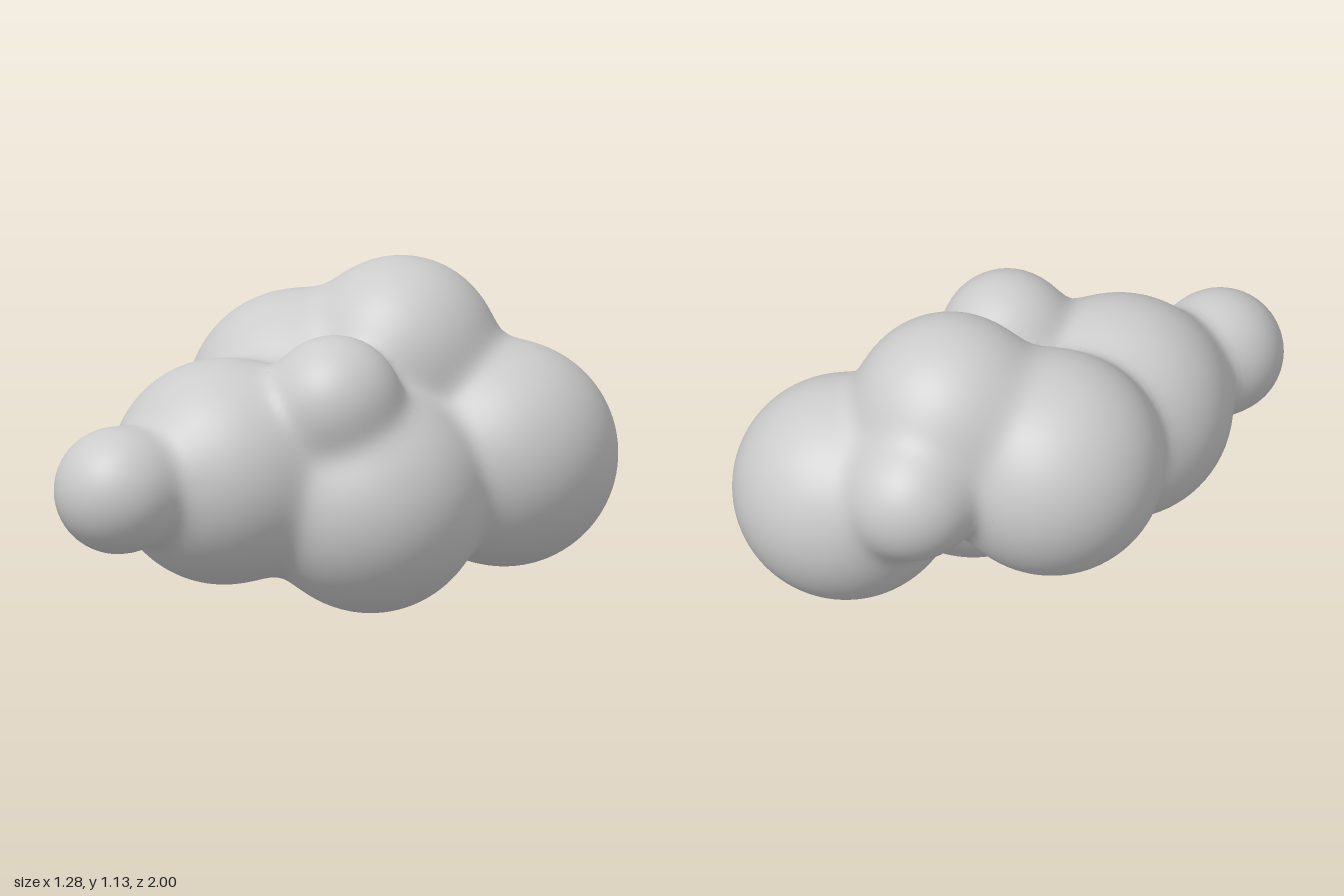
import * as THREE from 'three';

// Puffs of the cloud: x, y, z, radius
const PUFFS = [
  [-0.075, 0.48, 0.785, 0.212], // nose
  [-0.065, 0.485, 0.33, 0.378], // front
  [0.22, 0.38, -0.07, 0.379], // lower side
  [0.26, 0.47, -0.62, 0.379], // back
  [0.01, 0.8, -0.38, 0.328], // crown
  [-0.26, 0.62, -0.17, 0.379], // broad side
  [0.235, 0.74, 0.1, 0.22], // small upper puff
  [-0.1, 0.65, -0.66, 0.218], // small rear puff
];
const BLEND = 0.034; // softness of the creases
const CELL = 0.025;
const MIN = [-0.7, -0.06, -1.06];
const COUNT = [57, 50, 86];

// Smooth union of all puffs: distance, and gradient written to g
function field(x, y, z, g) {
  let sum = 0, gx = 0, gy = 0, gz = 0;
  for (const [cx, cy, cz, r] of PUFFS) {
    const dx = x - cx, dy = y - cy, dz = z - cz;
    const len = Math.hypot(dx, dy, dz) || 1e-6;
    const w = Math.exp((r - len) / BLEND);
    sum += w;
    gx += (w * dx) / len;
    gy += (w * dy) / len;
    gz += (w * dz) / len;
  }
  if (g) g.set(gx / sum, gy / sum, gz / sum);
  return -BLEND * Math.log(sum);
}

// One vertex per surface cell, one quad per grid edge that crosses the surface
function blendedSurface() {
  const [nx, ny, nz] = COUNT;
  const step = [1, nx, nx * ny];
  const values = new Float32Array(nx * ny * nz);
  const at = (i, axis) => MIN[axis] + i * CELL;
  const eachCell = (lo, hi, fn) => {
    for (let k = lo; k < nz - hi; k++)
      for (let j = lo; j < ny - hi; j++)
        for (let i = lo; i < nx - hi; i++) fn(i, j, k, i + j * nx + k * nx * ny);
  };
  eachCell(0, 0, (i, j, k, id) => {
    values[id] = field(at(i, 0), at(j, 1), at(k, 2));
  });

  const positions = [], normals = [], indices = [];
  const vertexOf = new Int32Array(values.length).fill(-1);
  const g = new THREE.Vector3(), p = new THREE.Vector3();
  eachCell(0, 1, (i, j, k, id) => {
    let inside = 0;
    for (let c = 0; c < 8; c++) {
      const corner = id + (c & 1) * step[0] + ((c >> 1) & 1) * step[1] + (c >> 2) * step[2];
      if (values[corner] < 0) inside++;
    }
    if (inside === 0 || inside === 8) return;
    // Pull the cell centre onto the surface
    p.set(at(i + 0.5, 0), at(j + 0.5, 1), at(k + 0.5, 2));
    for (let n = 0; n < 5; n++) {
      const d = field(p.x, p.y, p.z, g);
      p.addScaledVector(g, -d / Math.max(g.lengthSq(), 0.2));
    }
    field(p.x, p.y, p.z, g);
    g.normalize();
    vertexOf[id] = positions.length / 3;
    positions.push(p.x, p.y, p.z);
    normals.push(g.x, g.y, g.z);
  });

  eachCell(1, 1, (i, j, k, id) => {
    for (let axis = 0; axis < 3; axis++) {
      const inside = values[id] < 0;
      if (inside === values[id + step[axis]] < 0) continue;
      const u = step[(axis + 1) % 3], v = step[(axis + 2) % 3];
      const [a, b, c, d] = [id - u - v, id - v, id, id - u].map((n) => vertexOf[n]);
      if (inside) indices.push(a, b, c, a, c, d);
      else indices.push(a, c, b, a, d, c);
    }
  });

  const geometry = new THREE.BufferGeometry();
  geometry.setAttribute('position', new THREE.Float32BufferAttribute(positions, 3));
  geometry.setAttribute('normal', new THREE.Float32BufferAttribute(normals, 3));
  geometry.setIndex(indices);
  return geometry;
}

export function createModel() {
  const group = new THREE.Group();
  group.name = 'cloud';
  const material = new THREE.MeshStandardMaterial({ color: 0xcccccc });
  const puffs = new THREE.Mesh(blendedSurface(), material);
  puffs.name = 'blendedPuffs';
  group.add(puffs);
  return group;
}
